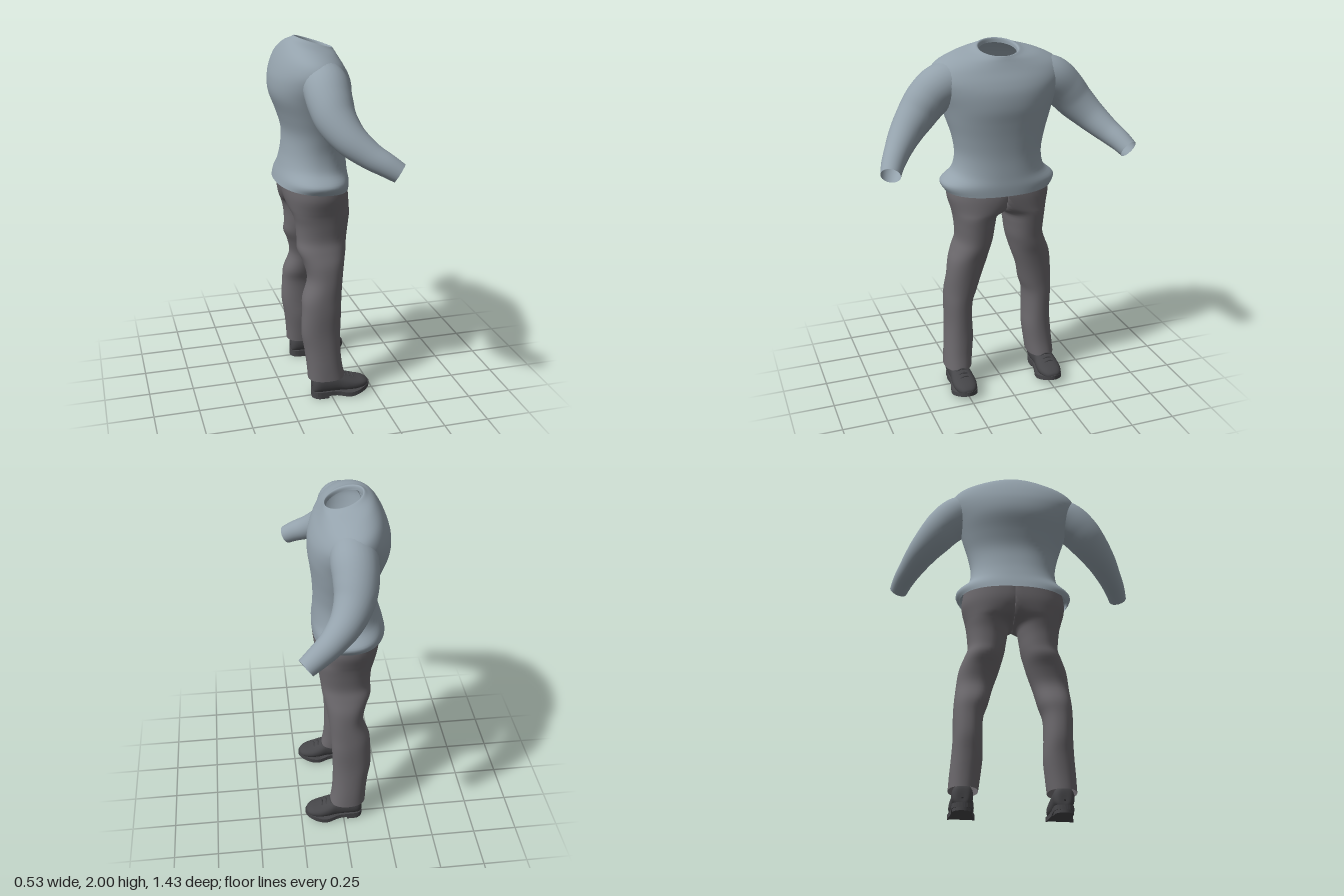
import * as THREE from 'three';
import { mergeVertices } from 'three/addons/utils/BufferGeometryUtils.js';

const mat = (name, color) => {
  const m = new THREE.MeshStandardMaterial({ color, side: THREE.DoubleSide });
  m.name = name;
  return m;
};

// smooth interpolation through rows of numbers, t in 0..1
function sample(rows, t) {
  const n = rows.length - 1;
  const i = Math.min(Math.floor(t * n), n - 1), f = t * n - i;
  const p = k => rows[Math.max(0, Math.min(n, k))];
  return rows[0].map((_, c) => {
    const a = p(i - 1)[c], b = p(i)[c], d = p(i + 1)[c], e = p(i + 2)[c];
    return b + 0.5 * f * (d - a + f * (2 * a - 5 * b + 4 * d - e + f * (3 * (b - d) + e - a)));
  });
}

// skin over rings; point(t, angle) gives [x, y, z]
function loft(point, steps, sides) {
  const pos = [], idx = [];
  for (let i = 0; i <= steps; i++) {
    for (let j = 0; j < sides; j++) {
      pos.push(...point(i / steps, (j / sides) * Math.PI * 2));
      if (i === steps) continue;
      const a = i * sides + j, b = i * sides + (j + 1) % sides;
      idx.push(a, a + sides, b, b, a + sides, b + sides);
    }
  }
  const g = new THREE.BufferGeometry();
  g.setAttribute('position', new THREE.Float32BufferAttribute(pos, 3));
  g.setIndex(idx);
  g.computeVertexNormals();
  return g;
}

const power = (v, n) => Math.sign(v) * Math.abs(v) ** (2 / n);

// garment ring: [yBack, yFront, xBack, xFront, zInner, zOuter, squareness]
function garment(rows, steps, sides, minZ = -Infinity) {
  return loft((t, a) => {
    const [yb, yf, xb, xf, zi, zo, n] = sample(rows, t);
    const c = power(Math.cos(a), n), s = power(Math.sin(a), n);
    const z = (zi + zo) / 2 + s * (zo - zi) / 2;
    return [(xb + xf) / 2 + c * (xf - xb) / 2, (yb + yf) / 2 + c * (yf - yb) / 2, Math.max(minZ, z)];
  }, steps, sides);
}

// mirrored copy across z, with corner order restored
function mirrored(geo) {
  const g = geo.index ? geo.clone() : mergeVertices(geo);
  g.scale(1, 1, -1);
  const ix = g.index.array;
  for (let i = 0; i < ix.length; i += 3) [ix[i], ix[i + 1]] = [ix[i + 1], ix[i]];
  return g;
}

export function createModel() {
  const model = new THREE.Group();
  model.name = 'clothedFigure';
  const shirt = mat('shirt blue grey', 0x94a2ac);
  const trousers = mat('trouser grey', 0x6c696d);
  const shoe = mat('shoe charcoal', 0x464649);

  const add = (name, geo, material) => {
    const m = new THREE.Mesh(geo, material);
    m.name = name;
    model.add(m);
  };
  const pair = (name, geo, material) => {
    add('left' + name, mirrored(geo), material);
    add('right' + name, geo, material);
  };

  // pullover body from hem to collar
  const body = [
    [1.22, 1.19, -0.25, 0.145, 0.305, 2.3],
    [1.26, 1.24, -0.24, 0.145, 0.325, 2.2],
    [1.32, 1.3, -0.222, 0.14, 0.262, 2.2],
    [1.4, 1.4, -0.205, 0.135, 0.243, 2.2],
    [1.5, 1.5, -0.2, 0.14, 0.258, 2.2],
    [1.6, 1.59, -0.228, 0.15, 0.287, 2.2],
    [1.7, 1.67, -0.265, 0.16, 0.318, 2.15],
    [1.78, 1.75, -0.268, 0.155, 0.355, 2.1],
    [1.85, 1.81, -0.25, 0.135, 0.372, 2.1],
    [1.915, 1.865, -0.22, 0.105, 0.342, 2.1],
    [1.965, 1.905, -0.185, 0.085, 0.25, 2],
    [1.99, 1.927, -0.15, 0.075, 0.15, 2],
    [2.0, 1.937, -0.13, 0.068, 0.11, 2],
    [1.975, 1.915, -0.125, 0.06, 0.103, 2],
  ].map(([yb, yf, xb, xf, z, n]) => [yb, yf, xb, xf, -z, z, n]);
  add('pulloverBody', garment(body, 65, 56), shirt);

  // bent sleeves: [x, y, z, radius]
  const sleeveRows = [
    [-0.045, 1.8, 0.24, 0.115],
    [-0.045, 1.775, 0.32, 0.12],
    [-0.045, 1.715, 0.39, 0.115],
    [-0.03, 1.64, 0.455, 0.104],
    [0.02, 1.56, 0.53, 0.086],
    [0.1, 1.492, 0.595, 0.069],
    [0.17, 1.45, 0.637, 0.06],
    [0.23, 1.412, 0.665, 0.052],
  ];
  const up = new THREE.Vector3(0, 1, 0);
  const sleeve = loft((t, a) => {
    const p = sample(sleeveRows, t);
    const q0 = sample(sleeveRows, Math.max(0, t - 0.02)), q1 = sample(sleeveRows, Math.min(1, t + 0.02));
    const dir = new THREE.Vector3(q1[0] - q0[0], q1[1] - q0[1], q1[2] - q0[2]).normalize();
    const u = new THREE.Vector3().crossVectors(dir, up).normalize();
    const v = new THREE.Vector3().crossVectors(u, dir);
    return new THREE.Vector3(p[0], p[1], p[2])
      .addScaledVector(u, Math.cos(a) * p[3]).addScaledVector(v, Math.sin(a) * p[3]).toArray();
  }, 36, 28);
  pair('Sleeve', sleeve, shirt);

  // trouser legs, joined along the middle at the hips
  const leg = [
    [0.12, 0.12, -0.13, 0.08, 0.18, 0.338, 2.2],
    [0.2, 0.2, -0.135, 0.065, 0.17, 0.333, 2.2],
    [0.3, 0.3, -0.147, 0.058, 0.16, 0.325, 2.2],
    [0.4, 0.4, -0.162, 0.058, 0.163, 0.32, 2.2],
    [0.52, 0.52, -0.157, 0.062, 0.16, 0.322, 2.2],
    [0.6, 0.6, -0.152, 0.066, 0.135, 0.319, 2.2],
    [0.7, 0.7, -0.118, 0.076, 0.11, 0.31, 2.2],
    [0.79, 0.79, -0.135, 0.09, 0.08, 0.298, 2.2],
    [0.86, 0.86, -0.163, 0.105, 0.06, 0.272, 2.2],
    [0.92, 0.92, -0.162, 0.113, 0.045, 0.252, 2.2],
    [1.0, 1.0, -0.167, 0.123, 0.033, 0.256, 2.2],
    [1.06, 1.06, -0.182, 0.13, 0.015, 0.264, 2.2],
    [1.1, 1.1, -0.2, 0.134, -0.07, 0.274, 2.2],
    [1.17, 1.17, -0.218, 0.136, -0.18, 0.291, 2.2],
    [1.25, 1.23, -0.222, 0.13, -0.24, 0.285, 2.2],
  ];
  pair('TrouserLeg', garment(leg, 56, 40, 0), trousers);

  // shoe uppers, skinned from heel to toe: [x, bottom, top, half width]
  const cz = 0.262;
  const upperRows = [
    [-0.108, 0.06, 0.07, 0.005], [-0.106, 0.03, 0.125, 0.035], [-0.08, 0.025, 0.145, 0.054],
    [-0.02, 0.025, 0.15, 0.056], [0.04, 0.025, 0.145, 0.058], [0.09, 0.025, 0.122, 0.066],
    [0.14, 0.028, 0.102, 0.067], [0.185, 0.033, 0.09, 0.055], [0.212, 0.04, 0.075, 0.032],
    [0.219, 0.055, 0.06, 0.004],
  ];
  const upper = loft((t, a) => {
    const [x, lo, hi, w] = sample(upperRows, t);
    return [x, (lo + hi) / 2 + power(Math.sin(a), 2.3) * (hi - lo) / 2, cz + power(Math.cos(a), 2.3) * w];
  }, 36, 28);
  pair('ShoeUpper', upper, shoe);

  // soles with a raised toe
  const outline = [[-0.112, 0], [-0.095, 0.045], [-0.03, 0.054], [0.03, 0.055], [0.1, 0.072], [0.16, 0.068], [0.205, 0.043]];
  const ring = [...outline, [0.226, 0], ...outline.slice(1).reverse().map(([x, z]) => [x, -z])];
  const curve = new THREE.CatmullRomCurve3(ring.map(([x, z]) => new THREE.Vector3(x, z, 0)), true);
  const soleShape = new THREE.Shape(curve.getPoints(48).slice(0, -1).map(p => new THREE.Vector2(p.x, p.y)));
  const sole = new THREE.ExtrudeGeometry(soleShape, { depth: 0.025, bevelEnabled: false });
  sole.rotateX(-Math.PI / 2).translate(0, 0.017, cz);
  const sp = sole.attributes.position;
  for (let i = 0; i < sp.count; i++) {
    const x = sp.getX(i);
    sp.setY(i, sp.getY(i) - 0.013 * Math.exp(-(((x - 0.1) / 0.06) ** 2)) + 1.2 * Math.max(0, x - 0.1) ** 2);
  }
  sole.computeVertexNormals();
  pair('ShoeSole', sole, shoe);

  // heel blocks
  const heelShape = new THREE.Shape();
  heelShape.moveTo(-0.02, -0.05);
  heelShape.lineTo(-0.02, 0.05);
  heelShape.lineTo(-0.062, 0.05);
  heelShape.absarc(-0.062, 0, 0.05, Math.PI / 2, Math.PI * 1.5, false);
  const heel = new THREE.ExtrudeGeometry(heelShape, { depth: 0.025, bevelEnabled: false, curveSegments: 14 });
  heel.rotateX(-Math.PI / 2).translate(0, 0, cz);
  pair('ShoeHeel', heel, shoe);

  // laces across the instep
  [[0.075, 0.13], [0.1, 0.118], [0.125, 0.108]].forEach(([x, y], i) => {
    const path = new THREE.CatmullRomCurve3([[-0.036, -0.012], [0, 0.003], [0.036, -0.012]]
      .map(([z, dy]) => new THREE.Vector3(x, y + dy, cz + z)));
    pair('Lace' + (i + 1), new THREE.TubeGeometry(path, 8, 0.005, 6), shoe);
  });

  return model;
}
